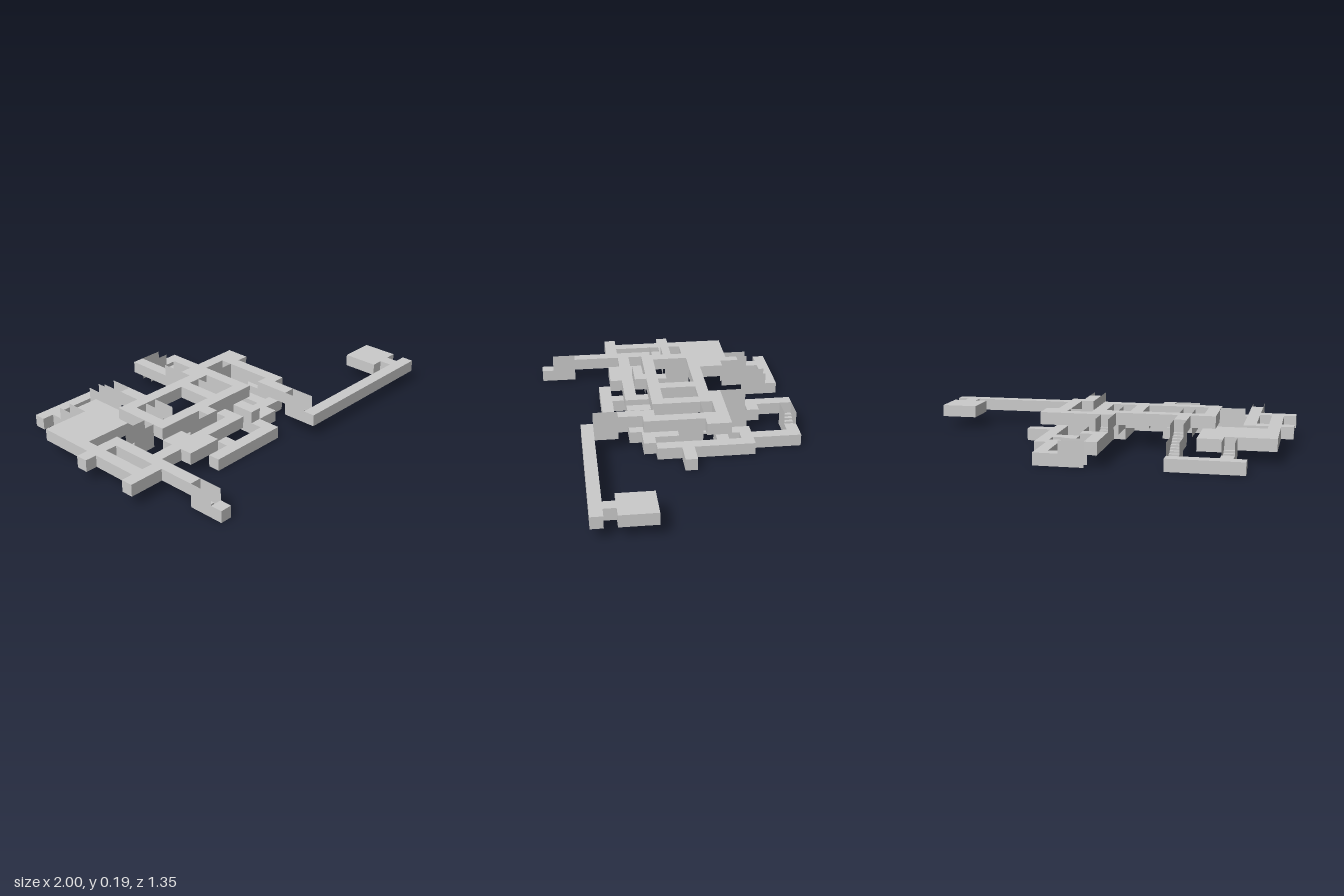
import * as THREE from 'three';

const C = 2 / 31; // one grid cell
const STEPS = 6;
const X = c => -1 + c * C;
const Z = r => (r - 10.5) * C;

// stepped floor, one cell wide, climbing one cell along +x
function stepsGeometry() {
  const run = 2 * C / STEPS, rise = C / STEPS, parts = [];
  const quad = (a, b) => parts.push(...a, C / 2, ...b, C / 2, ...b, -C / 2, ...a, C / 2, ...b, -C / 2, ...a, -C / 2);
  for (let i = 0; i < STEPS; i++) {
    const x = -C + i * run, y = i * rise;
    quad([x, y], [x, y + rise]);
    quad([x, y + rise], [x + run, y + rise]);
  }
  const geometry = new THREE.BufferGeometry();
  geometry.setAttribute('position', new THREE.Float32BufferAttribute(parts, 3));
  geometry.computeVertexNormals();
  return geometry;
}

export function createModel() {
  const model = new THREE.Group();
  model.name = 'dungeon';
  const stone = new THREE.MeshStandardMaterial({ color: 0xcccccc, flatShading: true });
  const thin = new THREE.MeshStandardMaterial({ color: 0xcccccc, flatShading: true, side: THREE.DoubleSide });
  const steps = stepsGeometry();
  const wall = new THREE.PlaneGeometry(2 * C, 2 * C).translate(0, C, 0);
  let level = 0;
  let floor;

  const startFloor = (name, y) => {
    level = y;
    floor = new THREE.Group();
    floor.name = name;
    model.add(floor);
  };

  // block of cells from its back-left column and row
  const room = (name, c, r, w, d) => {
    const mesh = new THREE.Mesh(new THREE.BoxGeometry(w * C, C, d * C), stone);
    mesh.name = name;
    mesh.position.set(X(c + w / 2), (level + 0.5) * C, Z(r + d / 2));
    floor.add(mesh);
  };

  // corridor from one cell, turning between runs along x, z, x, ...
  const hall = (name, c, r, ...runs) => runs.forEach((n, i) => {
    const dx = i % 2 ? 0 : n, dz = i % 2 ? n : 0;
    if (n || runs.length === 1) {
      room(name, Math.min(c, c + dx), Math.min(r, r + dz), Math.abs(dx) + 1, Math.abs(dz) + 1);
    }
    c += dx;
    r += dz;
  });

  // two-cell staircase climbing towards +x or -x, +z or -z
  const stair = (c, r, dx, dz) => {
    const group = new THREE.Group();
    group.name = 'staircase';
    const tread = new THREE.Mesh(steps, thin);
    tread.name = 'steps';
    group.add(tread);
    for (const s of [1, -1]) {
      const side = new THREE.Mesh(wall, thin);
      side.name = 'stairWall';
      side.position.z = s * C / 2;
      if (s < 0) side.rotation.y = Math.PI;
      group.add(side);
    }
    group.position.set(X(c + (dx ? 1 : 0.5)), level * C, Z(r + (dz ? 1 : 0.5)));
    group.rotation.y = Math.atan2(-dz, dx);
    floor.add(group);
  };

  startFloor('lowerFloor', 0);
  hall('backLeftHall', 3, 0, 5);
  hall('backLeftLink', 4, 1, 0);
  hall('backHall', 17, 0, 1, 4);
  hall('loopHall', 17, 4, 2, 2, -2, -2);
  hall('eastHall', 19, 6, 0, 5);
  hall('eastStub', 19, 9, 2);
  hall('middleHall', 15, 6, 0, 7, 1, -1, 2);
  hall('stairFoot', 17, 10, 0, 2);
  hall('frontHall', 8, 15, 6, -4);
  hall('frontLink', 10, 12, 0, 3);
  hall('stairEnd', 3, 20, 0);
  stair(4, 2, 0, 1);
  stair(8, 1, 0, 1);
  stair(3, 18, 0, -1);
  stair(15, 0, -1, 0);
  stair(15, 4, 0, -1);
  stair(17, 8, 0, -1);

  startFloor('middleFloor', 1);
  room('bigRoom', 1, 4, 6, 4);
  hall('bigRoomAlcove', 5, 3, 1);
  hall('westHall', 0, 9, 3, 8);
  hall('westPassage', 1, 8, 0, 6);
  hall('westFrontHall', 0, 14, 3);
  room('squareRoom', 6, 12, 2, 3);
  hall('squareRoomSide', 8, 13, 0, 1);
  hall('innerHall', 3, 13, 9, -2, 2);
  hall('underRing', 8, 10, 0, 1);
  hall('backPassage', 14, 0, 0, 3, 1);
  hall('centrePassage', 14, 10, 0, 3);
  hall('eastLongHall', 17, 17, 13);
  hall('eastRoomLink', 29, 16, 0);
  room('eastRoom', 28, 13, 3, 3);
  stair(8, 3, 0, 1);
  stair(8, 8, 0, -1);
  stair(4, 10, 1, 0);
  stair(8, 12, 1, 0);
  stair(14, 4, 0, 1);
  stair(14, 8, 0, -1);
  stair(16, 7, -1, 0);
  stair(17, 15, 0, -1);

  startFloor('upperFloor', 2);
  hall('ringHall', 15, 7, -9, 4, 8);
  hall('ringRight', 12, 8, 0, 2);
  hall('ringEntry', 8, 5, 0, 1);
  hall('ringLanding', 10, 12, 0);
  hall('upperHall', 14, 6, 5, 1, -1, 5, -1, 2);
  hall('upperMiddle', 15, 8, 0, 3);

  return model;
}
